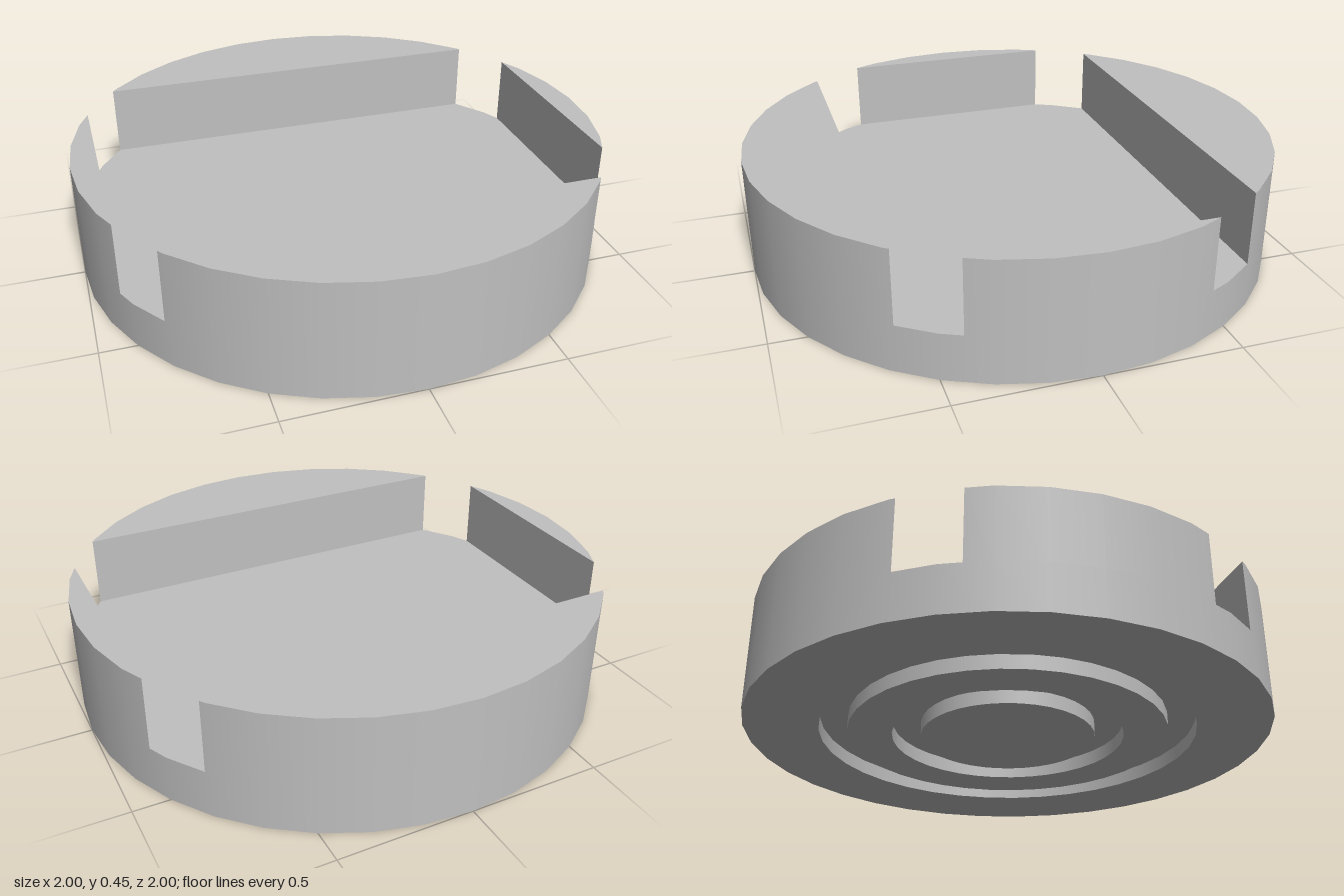
import * as THREE from 'three';

const SIDES = 36, FLOOR = 0.175, TOP = 0.449, GROOVE = 0.055;

// Flat faces everywhere, but smooth radial normals on the round walls
function smoothRoundWalls(geo) {
  const g = geo.index ? geo.toNonIndexed() : geo;
  g.computeVertexNormals();
  const p = g.attributes.position, n = g.attributes.normal;
  for (let i = 0; i < p.count; i++) {
    const r = Math.hypot(p.getX(i), p.getZ(i)) || 1;
    const x = p.getX(i) / r, z = p.getZ(i) / r;
    const d = n.getX(i) * x + n.getZ(i) * z;
    if (Math.abs(d) > 0.97) n.setXYZ(i, Math.sign(d) * x, 0, Math.sign(d) * z);
  }
  return g;
}

// Slice of the 36-sided disc lying beyond x = cut, standing on the pocket floor
function rimGeometry(cut, angle) {
  const step = (2 * Math.PI) / SIDES;
  const k = Math.floor(Math.acos(cut) / step);
  const at = i => new THREE.Vector2(Math.cos(i * step), Math.sin(i * step));
  const a = at(k), b = at(k + 1);
  const end = a.clone().lerp(b, (a.x - cut) / (a.x - b.x));
  const points = [new THREE.Vector2(end.x, -end.y)];
  for (let i = -k; i <= k; i++) points.push(at(i));
  points.push(end);
  const geo = new THREE.ExtrudeGeometry(new THREE.Shape(points), { depth: TOP - FLOOR, bevelEnabled: false });
  geo.rotateX(-Math.PI / 2).rotateY(angle).translate(0, FLOOR, 0);
  return smoothRoundWalls(geo);
}

export function createModel() {
  const group = new THREE.Group();
  const grey = new THREE.MeshStandardMaterial({ color: 0xc0c0c0 });
  grey.name = 'grey';
  const add = (name, geo) => {
    const mesh = new THREE.Mesh(geo, grey);
    mesh.name = name;
    group.add(mesh);
  };

  // Round base with two ring grooves underneath
  const profile = [
    [0, 0], [0.335, 0], [0.335, GROOVE], [0.445, GROOVE], [0.445, 0],
    [0.613, 0], [0.613, GROOVE], [0.72, GROOVE], [0.72, 0],
    [1, 0], [1, FLOOR], [0, FLOOR],
  ].map(([x, y]) => new THREE.Vector2(x, y));
  add('groovedBase', smoothRoundWalls(new THREE.LatheGeometry(profile, SIDES)));

  // Four raised rims around the rectangular pocket
  const rims = [['leftRim', 0.9], ['backRim', 0.623], ['rightRim', 0.9], ['frontRim', 0.623]];
  rims.forEach(([name, cut], i) => add(name, rimGeometry(cut, i * Math.PI / 2)));
  return group;
}
